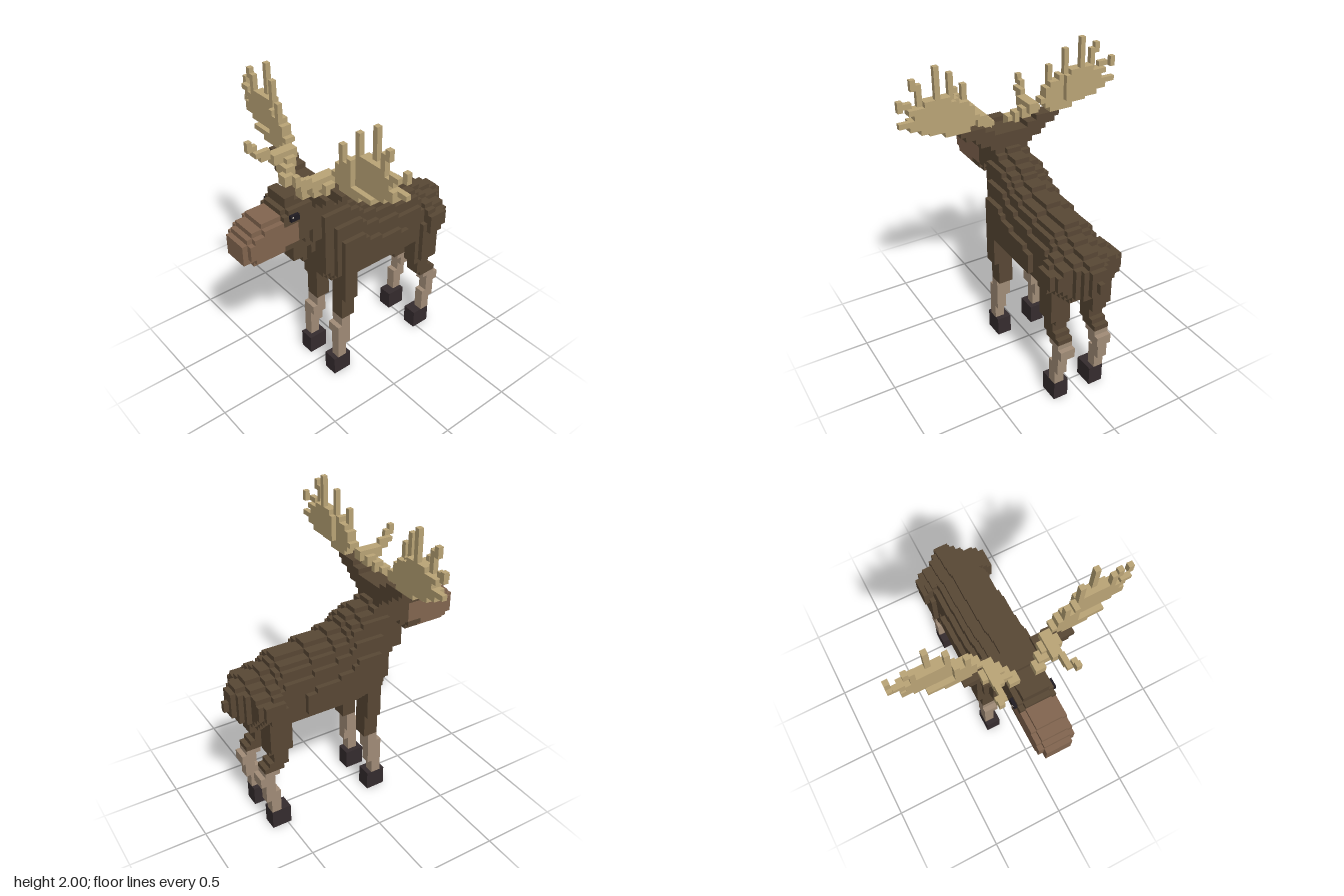
import * as THREE from 'three';

const S = 2 / 61;          // voxel size
const LENGTH = 49;         // voxels from nose to tail

const mat = (name, color) => {
  const m = new THREE.MeshStandardMaterial({ color });
  m.name = name;
  return m;
};

// Set of voxels; i runs nose to tail, j up, k sideways with 0 in the middle
class Voxels {
  constructor() { this.cells = new Map(); }
  set(i, j, k) { this.cells.set(`${i},${j},${k}`, [i, j, k]); }
  has(i, j, k) { return this.cells.has(`${i},${j},${k}`); }
  // inclusive block, mirrored across the middle when side is -1
  block(i0, i1, j0, j1, k0, k1, side = 1) {
    for (let i = i0; i <= i1; i++)
      for (let j = j0; j <= j1; j++)
        for (let k = k0; k <= k1; k++) this.set(i, j, k * side);
    return this;
  }
  // only the exposed faces become quads
  mesh(name, material) {
    const pos = [], nor = [], idx = [];
    for (const c of this.cells.values()) {
      for (let a = 0; a < 3; a++) for (const d of [-1, 1]) {
        const n = [0, 0, 0];
        n[a] = d;
        if (this.has(c[0] + n[0], c[1] + n[1], c[2] + n[2])) continue;
        const u = (a + 1) % 3, v = (a + 2) % 3, base = pos.length / 3;
        for (const [p, q] of [[-1, -1], [1, -1], [1, 1], [-1, 1]]) {
          const o = [0, 0, 0];
          o[a] = d / 2; o[u] = p * d / 2; o[v] = q / 2;
          pos.push((c[0] + 0.5 + o[0] - LENGTH / 2) * S, (c[1] + 0.5 + o[1]) * S, (c[2] + o[2]) * S);
          nor.push(...n);
        }
        idx.push(base, base + 1, base + 2, base, base + 2, base + 3);
      }
    }
    const g = new THREE.BufferGeometry();
    g.setAttribute('position', new THREE.Float32BufferAttribute(pos, 3));
    g.setAttribute('normal', new THREE.Float32BufferAttribute(nor, 3));
    g.setIndex(idx);
    const m = new THREE.Mesh(g, material);
    m.name = name;
    return m;
  }
}

// value of the last step [start, value] reached by t
const step = (table, t) => {
  let r = table[0][1];
  for (const [s, v] of table) if (t >= s) r = v;
  return r;
};

export function createModel() {
  const fur = mat('dark brown fur', 0x594835);
  const muzzleFur = mat('muzzle brown', 0x836650);
  const legFur = mat('pale leg fur', 0xa28d78);
  const horn = mat('antler tan', 0xbba577);
  const hoofMat = mat('hoof black', 0x352c2e);
  const eyeMat = mat('eye black', 0x201c22);
  const glint = mat('eye glint', 0xc8c0b4);
  const model = new THREE.Group();
  model.name = 'moose';

  // Torso, neck and rump: stepped side outline with stepped widths
  const top = [[11, 43], [14, 44], [18, 42], [19, 41], [22, 40], [24, 39], [25, 38], [28, 37],
    [33, 36], [39, 35], [40, 34], [42, 33], [45, 32], [47, 31], [48, 29]];
  const bottom = [[11, 30], [13, 29], [14, 32], [15, 30], [16, 25], [17, 24], [18, 23], [19, 22],
    [43, 23], [44, 24], [45, 25], [47, 26], [48, 27]];
  const widthAlong = [[11, 1], [13, 2], [14, 3], [16, 4], [18, 5], [19, 6], [35, 5], [39, 6],
    [40, 7], [44, 6], [45, 3], [46, 2], [47, 1], [48, 0]];
  const widthUp = [[22, 6], [26, 7], [30, 6], [33, 5], [36, 4], [39, 3]];
  const widthBelowTop = [[0, 1], [1, 3], [2, 4], [4, 5], [7, 6], [8, 7]];
  const body = new Voxels();
  for (let i = 11; i < LENGTH; i++) {
    const t = step(top, i), b = step(bottom, i);
    for (let j = b; j < t; j++) {
      let w = Math.min(step(widthAlong, i), step(widthUp, j), 3 + j - b);
      // the short tail and the neck keep their own rounding
      w = Math.min(w, i < 19 || i > 39 ? 1 + 2 * (t - 1 - j) : step(widthBelowTop, t - 1 - j));
      if (i < 16 && j < 34) w = Math.min(w, 1);
      body.block(i, i, j, j, -w, w);
    }
  }
  model.add(body.mesh('body', fur));

  // Head: pale muzzle in front, dark skull behind
  const headTop = [[0, 39], [1, 40], [2, 41], [4, 42], [8, 43], [9, 45], [11, 44]];
  const headBottom = [[0, 35], [2, 34], [11, 35], [13, 36]];
  const muzzle = new Voxels(), skull = new Voxels();
  for (let i = 0; i < 15; i++) {
    const t = step(headTop, i), b = step(headBottom, i);
    for (let j = b; j < t; j++) {
      const w = i === 0 || j === t - 1 || j === b || j > 42 ? 2 : 3;
      const pale = i < 8 || (i < 11 && j > 35 && j < 40);
      (pale ? muzzle : skull).block(i, i, j, j, -w, w);
    }
  }
  model.add(muzzle.mesh('muzzle', muzzleFur), skull.mesh('skull', fur));

  // Antler palm rows [height, inner, outer] and tines [low, high, inner, outer, layer]
  const palm = [[47, 9, 13], [48, 8, 16], [49, 7, 18], [50, 8, 20], [51, 8, 20], [52, 9, 19],
    [53, 11, 20], [54, 13, 17]];
  const tines = [[53, 55, 9, 9, 16], [54, 58, 12, 12, 17], [55, 60, 15, 15, 18],
    [54, 57, 18, 18, 17], [57, 58, 19, 19, 17], [54, 54, 20, 21, 17], [54, 55, 22, 22, 18],
    [51, 51, 21, 22, 18]];

  for (const side of [1, -1]) {
    const label = side > 0 ? 'left' : 'right';

    // Furred antler root
    const root = new Voxels();
    for (const [j, k0, k1] of [[42, 0, 4], [43, 0, 6], [44, 0, 7], [45, 4, 9], [46, 6, 10]])
      root.block(j > 44 ? 15 : 14, 17, j, j, k0, k1, side);
    model.add(root.mesh(label + 'AntlerRoot', fur));

    // Palm leaning back as it rises and spreads
    const antler = new Voxels();
    for (const [j, k0, k1] of palm)
      for (let k = k0; k <= k1; k++) {
        const back = j > 48 && k > 11 ? 18 : 17;
        antler.block(back - 1, back, j, j, k, k, side);
      }
    for (const [j0, j1, k0, k1, i] of tines) antler.block(i, i, j0, j1, k0, k1, side);
    // Forward branch with its tine
    antler.block(12, 13, 44, 45, 2, 3, side).block(13, 14, 45, 46, 3, 5, side)
      .block(14, 15, 46, 47, 4, 7, side).block(12, 16, 47, 48, 5, 6, side)
      .block(10, 11, 48, 49, 6, 6, side).block(9, 9, 49, 50, 7, 7, side)
      .block(9, 9, 49, 49, 6, 6, side).block(8, 8, 50, 51, 7, 7, side);
    model.add(antler.mesh(label + 'Antler', horn));

    // Front leg
    const frontThigh = new Voxels().block(19, 21, 14, 21, 3, 5, side).block(19, 21, 19, 25, 3, 6, side);
    const frontShin = new Voxels().block(19, 20, 12, 13, 3, 5, side).block(18, 20, 10, 11, 3, 5, side)
      .block(18, 20, 7, 9, 4, 5, side).block(18, 19, 4, 6, 4, 5, side);
    const frontHoof = new Voxels().block(17, 20, 0, 3, 3, 5, side);

    // Back leg with bent hock
    const backThigh = new Voxels().block(38, 42, 18, 24, 3, 5, side).block(39, 42, 19, 25, 6, 6, side)
      .block(39, 41, 16, 17, 3, 5, side).block(39, 42, 15, 15, 3, 5, side)
      .block(40, 43, 14, 14, 3, 5, side);
    const backShin = new Voxels().block(41, 43, 13, 13, 3, 5, side).block(42, 44, 11, 12, 3, 5, side)
      .block(42, 43, 9, 10, 4, 5, side).block(41, 43, 7, 8, 4, 5, side).block(41, 42, 4, 6, 4, 5, side);
    const backHoof = new Voxels().block(39, 42, 0, 3, 3, 5, side);

    model.add(
      frontThigh.mesh(label + 'FrontThigh', fur), frontShin.mesh(label + 'FrontShin', legFur),
      frontHoof.mesh(label + 'FrontHoof', hoofMat), backThigh.mesh(label + 'BackThigh', fur),
      backShin.mesh(label + 'BackShin', legFur), backHoof.mesh(label + 'BackHoof', hoofMat));

    // Eye with a small glint
    const eye = new THREE.Mesh(new THREE.BoxGeometry(S * 1.8, S * 1.2, S), eyeMat);
    eye.name = label + 'Eye';
    eye.position.set((10 - LENGTH / 2) * S, 41.5 * S, side * 3.6 * S);
    const spark = new THREE.Mesh(new THREE.BoxGeometry(S * 0.3, S * 0.3, 0.006), glint);
    spark.name = label + 'EyeGlint';
    spark.position.set(-S * 0.5, S * 0.3, side * S * 0.5);
    eye.add(spark);
    model.add(eye);
  }
  return model;
}
